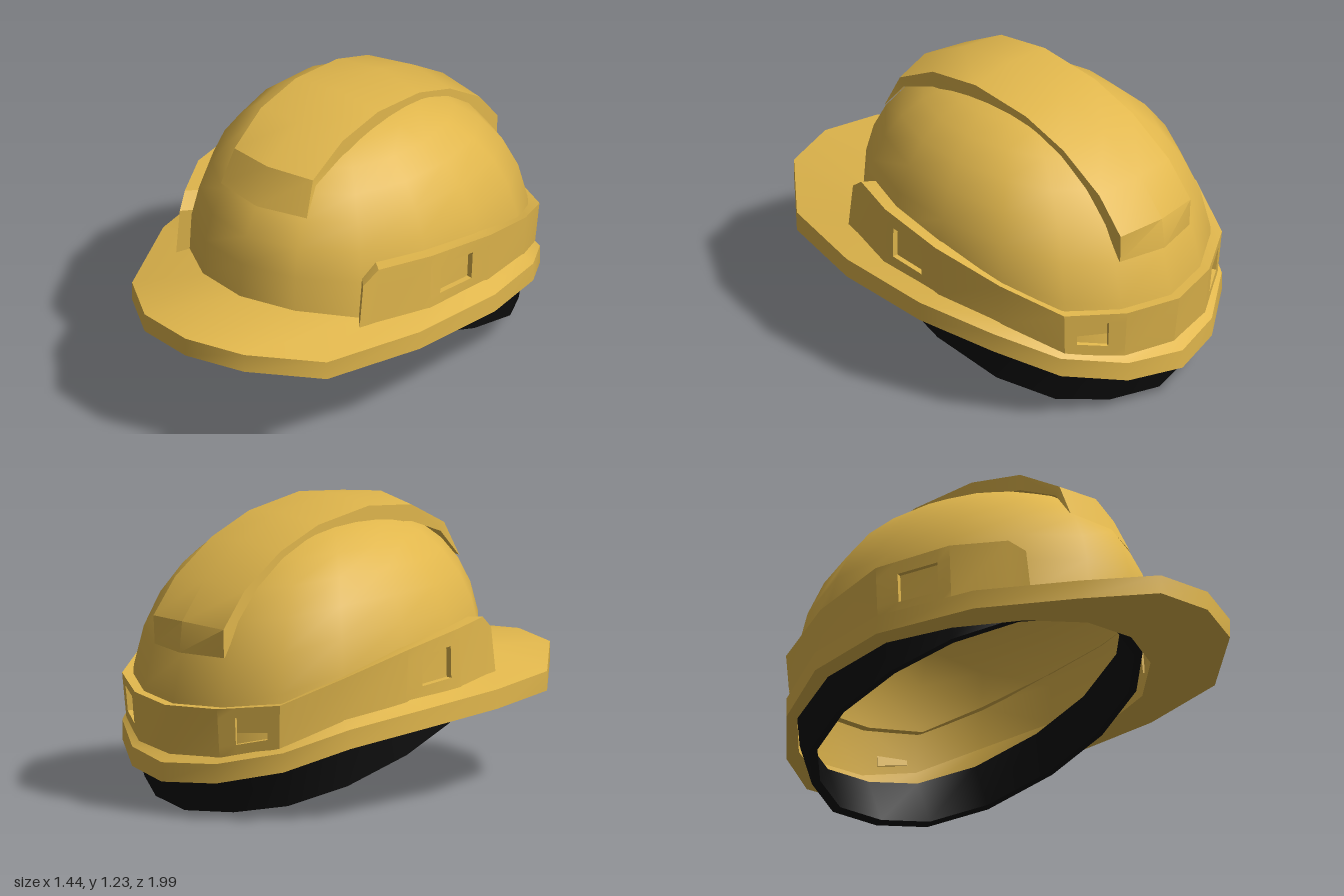
import * as THREE from 'three';
import { toCreasedNormals } from 'three/addons/utils/BufferGeometryUtils.js';

const V = (x, y, z) => new THREE.Vector3(x, y, z);
const yellow = new THREE.MeshStandardMaterial({ color: 0xe0b64c, side: THREE.DoubleSide });
const black = new THREE.MeshStandardMaterial({ color: 0x0d0d0d, side: THREE.DoubleSide });

// Half outlines run from the front centre round the +x side to the back centre
const BRIM = [[0, .53, .99], [.26, .52, .93], [.51, .46, .69], [.67, .46, .27], [.72, .44, -.18],
  [.65, .39, -.53], [.5, .3, -.77], [.26, .24, -.93], [0, .22, -1]];
const BASE = [[0, .555, .62], [.24, .545, .56], [.45, .5, .38], [.585, .49, .1], [.63, .48, -.2],
  [.59, .43, -.52], [.46, .33, -.76], [.25, .27, -.89], [0, .25, -.95]];
// Height of the opening's lower edge under the brim
const OPENING_Y = [.42, .41, .385, .37, .36, .3, .22, .18, .165];

const mirrorX = (p) => V(-p.x, p.y, p.z);
const fullRing = (half) => {
  const pts = half.map((p) => V(...p));
  return [...pts, ...pts.slice(1, -1).reverse().map(mirrorX)];
};

function quad(out, a, b, c, d) {
  for (const p of [a, b, c, a, c, d]) out.push(p.x, p.y, p.z);
}

function makeMesh(name, out, material, crease) {
  const geo = new THREE.BufferGeometry();
  geo.setAttribute('position', new THREE.Float32BufferAttribute(out, 3));
  const mesh = new THREE.Mesh(toCreasedNormals(geo, crease), material);
  mesh.name = name;
  return mesh;
}

// Skin a list of cross-sections, optionally joining each one end to end
function loft(rows, closed) {
  const out = [];
  for (let i = 0; i < rows.length - 1; i++) {
    const a = rows[i], b = rows[i + 1], n = a.length;
    for (let j = 0; j < (closed ? n : n - 1); j++) {
      const k = (j + 1) % n;
      quad(out, a[j], a[k], b[k], b[j]);
    }
  }
  return out;
}

// Dome: the base outline shrinks to the crown along a full, rounded curve
function dome() {
  const rings = [], levels = 8, power = 2 / 2.3, base = fullRing(BASE);
  for (let i = 0; i <= levels; i++) {
    const t = (i / levels) * Math.PI / 2;
    const s = i === levels ? 0.001 : Math.cos(t) ** power, f = Math.sin(t) ** power;
    rings.push(base.map((p) => V(p.x * s, p.y + (1.18 - p.y) * f, -.06 + (p.z + .06) * s)));
  }
  return makeMesh('dome', loft(rings, true), yellow, 1.2);
}

// Brim: solid ring with a long peak at the front
function brim() {
  const outerTop = fullRing(BRIM), innerTop = fullRing(BASE);
  const outerBottom = outerTop.map((p) => V(p.x, p.y - .082, p.z));
  const innerBottom = fullRing(BASE.map(([x, , z], i) => [x * .985, OPENING_Y[i], z * .985]));
  return makeMesh('brim', loft([innerBottom, outerBottom, outerTop, innerTop, innerBottom], true), yellow, .65);
}

// Headband: tilted hoop, lowest at the back
function headband() {
  const hoop = (k, rise) => fullRing(BASE.map(([x, , z]) => {
    const zz = -.15 + (-.15 + (z + .165) * .917 + .15) * k;
    return [x * .968 * k, .293 + .336 * zz + rise, zz - rise * .32];
  }));
  const inner = hoop(.95, 0), rows = [inner, hoop(1, 0), hoop(1, .19), hoop(.95, .19), inner];
  return makeMesh('headband', loft(rows, true), black, .65);
}

// Crown ridge: raised strip that fades into the dome at both ends
function ridge() {
  // half width, base y z, edge y z, centre y z
  const rows = [
    [.225, .94, .455, .94, .457, .94, .51],
    [.205, 1.05, .37, 1.085, .39, 1.097, .435],
    [.213, 1.115, .2, 1.185, .2, 1.21, .22],
    [.215, 1.135, -.04, 1.21, -.04, 1.232, -.04],
    [.215, 1.09, -.32, 1.165, -.32, 1.19, -.34],
    [.215, 1, -.53, 1.08, -.53, 1.1, -.56],
    [.215, .86, -.71, .94, -.73, .96, -.76],
    [.217, .76, -.79, .79, -.85, .8, -.885],
    [.215, .67, -.84, .67, -.845, .67, -.9],
  ].map(([w, by, bz, ey, ez, cy, cz]) => {
    const base = V(w, by, bz), edge = V(w, ey, ez);
    return [mirrorX(base), mirrorX(edge), V(0, cy, cz), edge, base];
  });
  return makeMesh('crownRidge', loft(rows, false), yellow, .6);
}

// Panel with a rectangular recess between u0..u1 and v0..v1
function slottedPanel(out, A, B, C, D, u0, u1, v0, v1) {
  const at = (u, v) => A.clone().lerp(B, u).lerp(D.clone().lerp(C, u), v);
  const us = [0, u0, u1, 1], vs = [0, v0, v1, 1];
  for (let i = 0; i < 3; i++) for (let j = 0; j < 3; j++) {
    if (i === 1 && j === 1) continue;
    quad(out, at(us[i], vs[j]), at(us[i + 1], vs[j]), at(us[i + 1], vs[j + 1]), at(us[i], vs[j + 1]));
  }
  const inward = B.clone().sub(A).cross(D.clone().sub(A)).normalize().multiplyScalar(-.025);
  const rim = [at(u0, v0), at(u1, v0), at(u1, v1), at(u0, v1)];
  const floor = rim.map((p) => p.clone().add(inward));
  for (let i = 0; i < 4; i++) {
    const k = (i + 1) % 4;
    quad(out, rim[i], rim[k], floor[k], floor[i]);
  }
  quad(out, ...floor);
}

// Side band: raised strip round the sides and back, with four accessory slots
function sideBand() {
  const half = [ // bottom point, top point
    [[.48, .485, .43], [.48, .68, .405]], [[.51, .48, .35], [.507, .735, .335]],
    [[.61, .475, .12], [.61, .73, .11]], [[.65, .465, -.22], [.665, .69, -.22]],
    [[.6, .415, -.53], [.61, .6, -.53]], [[.475, .315, -.77], [.49, .5, -.78]],
    [[.25, .25, -.9], [.255, .47, -.92]], [[0, .23, -.95], [0, .46, -.982]]];
  const side = (k) => {
    const pts = half.map((h) => V(...h[k]));
    return [...pts, ...pts.slice(0, -1).reverse().map(mirrorX)];
  };
  const inset = (p) => V(p.x * .91, p.y, -.1 + (p.z + .1) * .91);
  const bottom = side(0), top = side(1), innerTop = top.map(inset);
  const slots = { 2: [.17, .71, .22, .76], 5: [.2, .72, .25, .8], 8: [.28, .8, .25, .8], 11: [.29, .83, .22, .76] };
  const out = loft([top, innerTop], false), last = bottom.length - 1;
  for (let j = 0; j < last; j++) {
    const panel = [bottom[j], bottom[j + 1], top[j + 1], top[j]];
    if (slots[j]) slottedPanel(out, ...panel, ...slots[j]);
    else quad(out, ...panel);
  }
  quad(out, inset(bottom[0]), bottom[0], top[0], innerTop[0]);
  quad(out, bottom[last], inset(bottom[last]), innerTop[last], top[last]);
  return makeMesh('sideBand', out, yellow, .35);
}

export function createModel() {
  const group = new THREE.Group();
  group.name = 'hardHat';
  group.add(dome(), brim(), headband(), ridge(), sideBand());
  return group;
}
